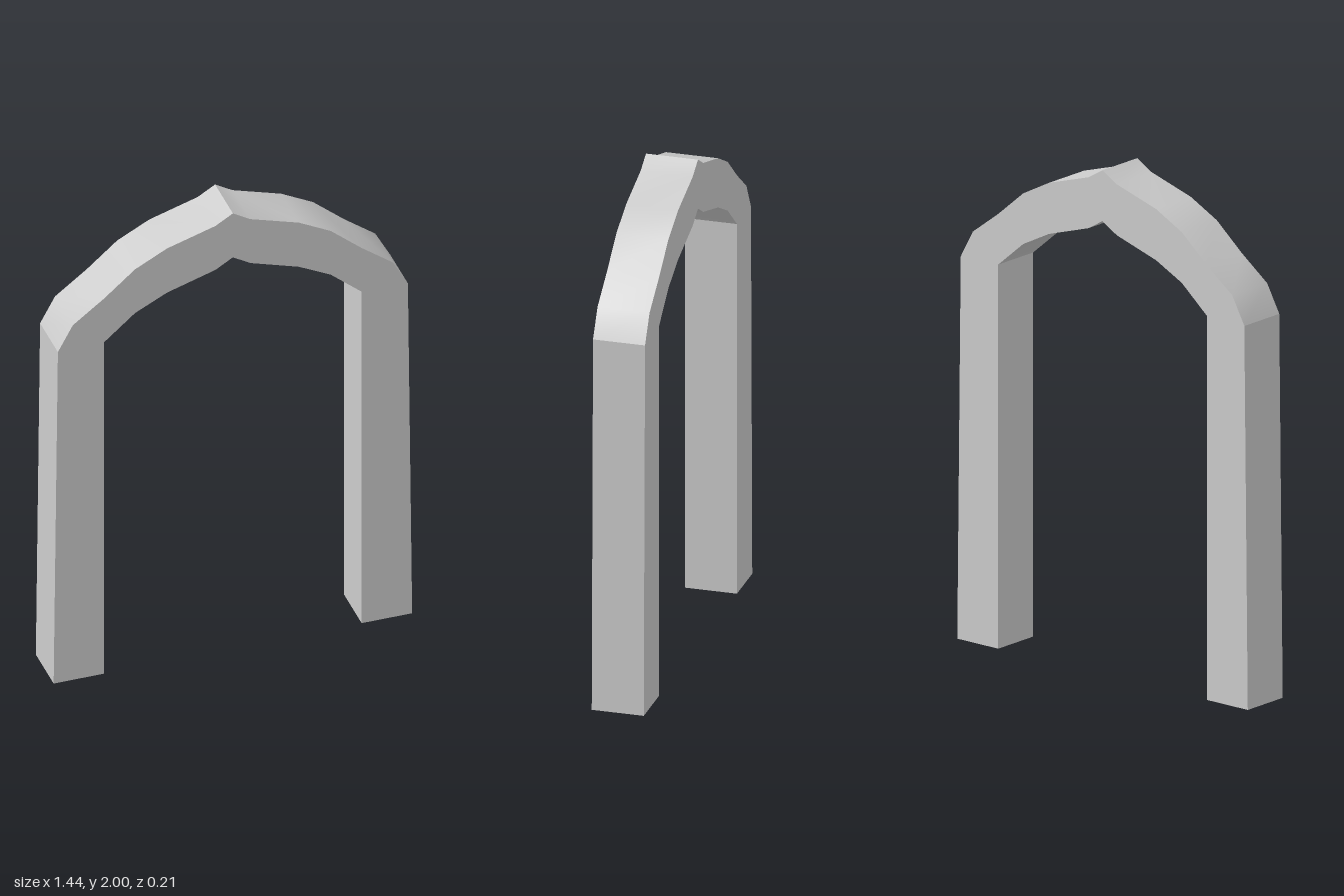
import * as THREE from 'three';
import { toCreasedNormals } from 'three/addons/utils/BufferGeometryUtils.js';

export function createModel() {
  const group = new THREE.Group();
  group.name = 'pointedArchway';
  const depth = 0.206;

  // Left half of the outline, outer edge from the foot up to the peak
  const outer = [[0.72, 0], [0.703, 1.52], [0.643, 1.63], [0.517, 1.725],
    [0.393, 1.831], [0.265, 1.898], [0.07, 1.958], [0, 2]];
  // Inner edge from the peak down to the foot
  const inner = [[0, 1.798], [0.07, 1.756], [0.265, 1.695], [0.393, 1.63],
    [0.517, 1.524], [0.517, 0]];

  // Mirror both edges across x = 0 (the shared peak points are used once)
  const mirror = (edge) => edge.filter(([x]) => x > 0).map(([x, y]) => [-x, y]).reverse();
  const outline = [...outer, ...mirror(outer), ...mirror(inner), ...inner];

  const shape = new THREE.Shape(outline.map(([x, y]) => new THREE.Vector2(x, y)));
  const solid = new THREE.ExtrudeGeometry(shape, { depth, bevelEnabled: false });
  solid.translate(0, 0, -depth / 2);

  // Crown shades smoothly; peak, springing line and front/back rims stay sharp
  const arch = new THREE.Mesh(
    toCreasedNormals(solid, THREE.MathUtils.degToRad(26)),
    new THREE.MeshStandardMaterial({ color: 0xcccccc })
  );
  arch.name = 'archFrame';
  group.add(arch);
  return group;
}
